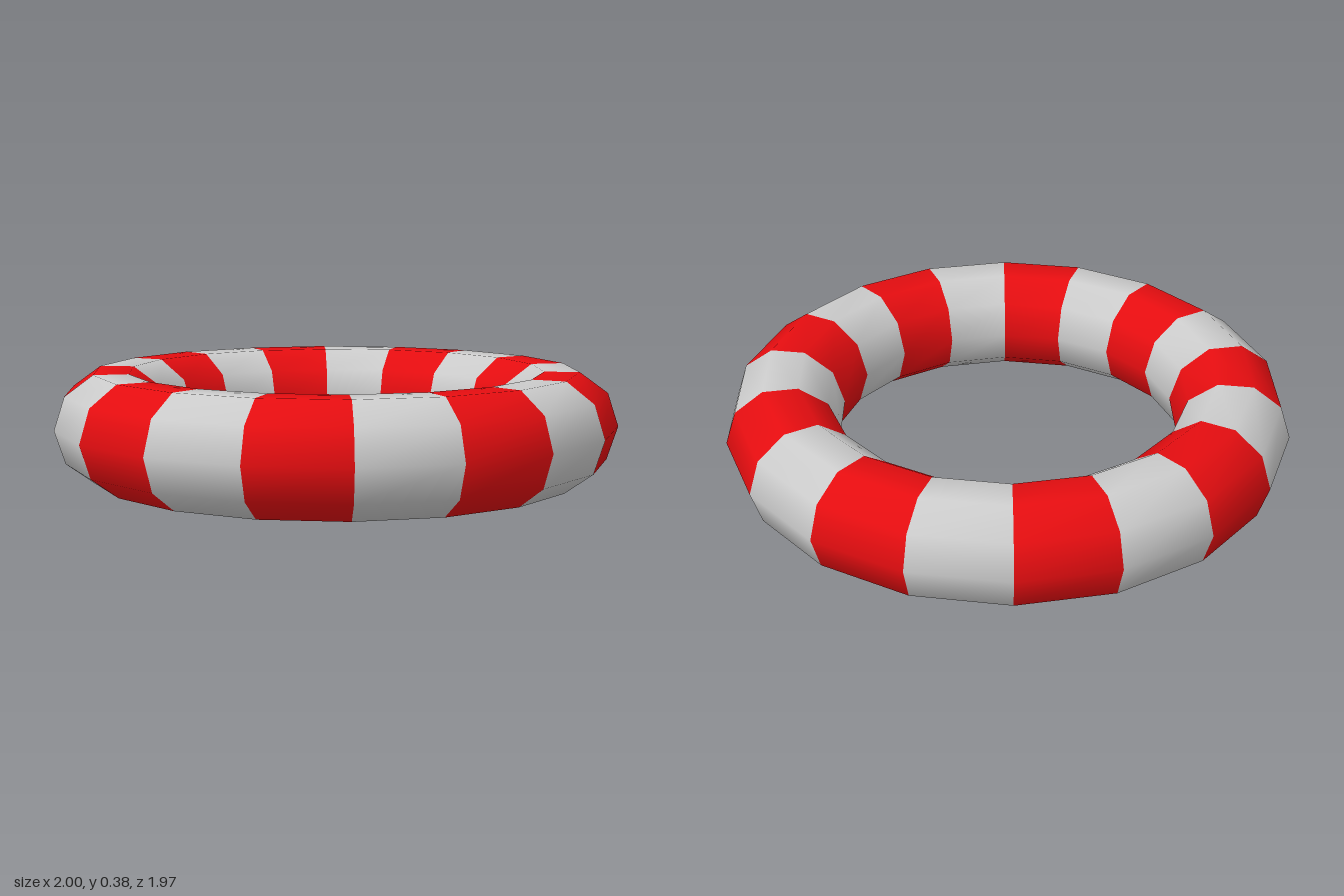
import * as THREE from 'three';

export function createModel() {
  const group = new THREE.Group();
  group.name = 'swimRing';

  const ringRadius = 0.8, tubeRadius = 0.2, tubeSides = 10, segments = 18;
  const step = (Math.PI * 2) / segments;
  const red = new THREE.MeshStandardMaterial({ color: 0xe60d10 });
  const grey = new THREE.MeshStandardMaterial({ color: 0xcccccc });

  // One straight slice of the tube, laid flat, running from +x towards +z
  const slice = new THREE.TorusGeometry(ringRadius, tubeRadius, tubeSides, 1, step);
  slice.rotateX(Math.PI / 2);

  // Alternate red and grey slices around the ring, resting on the ground
  const halfHeight = tubeRadius * Math.sin(Math.PI * 0.4);
  for (let i = 0; i < segments; i++) {
    const isRed = i % 2 === 0;
    const mesh = new THREE.Mesh(slice, isRed ? red : grey);
    mesh.name = (isRed ? 'redStripe' : 'greyStripe') + (Math.floor(i / 2) + 1);
    mesh.rotation.y = -i * step;
    mesh.position.y = halfHeight;
    group.add(mesh);
  }
  return group;
}
